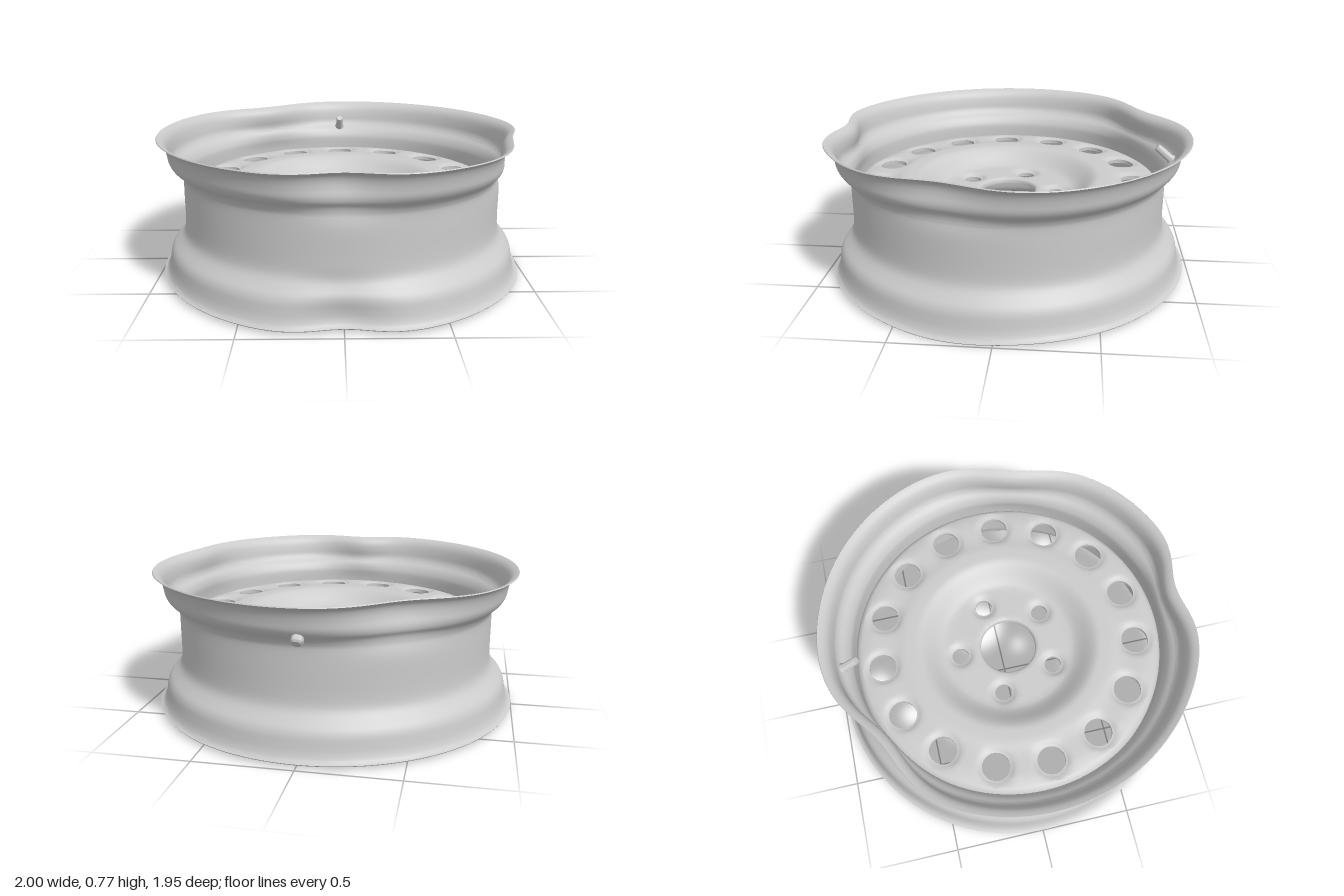
import * as THREE from 'three';
import { mergeGeometries, mergeVertices, toCreasedNormals } from 'three/addons/utils/BufferGeometryUtils.js';

const SEG = 120;
const THICK = 0.02;
const CENTRE_Z = 0.02;
const smooth = THREE.MathUtils.smoothstep;
const grey = () => new THREE.MeshStandardMaterial({ color: 0xcccccc, side: THREE.DoubleSide });

// Lathe from [radius, height] pairs, positions and index only
function lathe(points) {
  const g = new THREE.LatheGeometry(points.map(([r, y]) => new THREE.Vector2(r, y)), SEG);
  g.deleteAttribute('uv');
  g.deleteAttribute('normal');
  return g;
}

function weld(geometries, crease = 0.7) {
  return toCreasedNormals(mergeVertices(mergeGeometries(geometries), 1e-4), crease);
}

// Height of the pressed disc: low hub, raised outer ring, soft shoulder
const discY = r => 0.41 + 0.092 * smooth(r, 0.35, 0.51) - 0.012 * smooth(r, 0.56, 0.66)
  - 0.012 * smooth(r, 0.75, 0.83);

// One sector of the disc, pierced by a round hole with a pressed lip
function piercedSector({ angle, span, r0, r1, rc, hole, lip, nArc, nRad }) {
  const at = (r, a) => [r * Math.sin(a), r * Math.cos(a)];
  const a0 = angle - span / 2, a1 = angle + span / 2;
  const lerp = THREE.MathUtils.lerp;
  const edge = [];
  for (let i = 0; i < nArc; i++) edge.push(at(r0, lerp(a0, a1, i / nArc)));
  for (let i = 0; i < nRad; i++) edge.push(at(lerp(r0, r1, i / nRad), a1));
  for (let i = 0; i < nArc; i++) edge.push(at(r1, lerp(a1, a0, i / nArc)));
  for (let i = 0; i < nRad; i++) edge.push(at(lerp(r1, r0, i / nRad), a0));

  const [cx, cz] = at(rc, angle);
  const steps = [0, 0.07, 0.15, 0.25, 0.4, 0.65, 1];
  // Underside inwards to the hole, up its wall, then outwards on top
  const rings = [...steps.slice().reverse().map(v => [v, -THICK]), ...steps.map(v => [v, 0])];
  const pos = [], index = [], n = edge.length;
  for (const [v, dy] of rings) {
    for (const [ex, ez] of edge) {
      const len = Math.hypot(ex - cx, ez - cz);
      const d = lerp(hole, len, v);
      const x = cx + (ex - cx) / len * d, z = cz + (ez - cz) / len * d;
      const drop = v === 1 ? 0 : lip * (1 - smooth(d - hole, 0, 0.035));
      pos.push(x, discY(Math.hypot(x, z)) + dy - drop, z);
    }
  }
  for (let i = 0; i < rings.length - 1; i++) {
    for (let j = 0; j < n; j++) {
      const a = i * n + j, b = i * n + (j + 1) % n;
      index.push(a, b, a + n, b, b + n, a + n);
    }
  }
  const g = new THREE.BufferGeometry();
  g.setAttribute('position', new THREE.Float32BufferAttribute(pos, 3));
  g.setIndex(index);
  return g;
}

function makeDisc() {
  const parts = [];
  // Ring of fifteen vent holes
  for (let i = 0; i < 15; i++) {
    parts.push(piercedSector({
      angle: Math.PI + i * Math.PI * 2 / 15, span: Math.PI * 2 / 15,
      r0: 0.59, r1: 0.82, rc: 0.708, hole: 0.075, lip: 0.014, nArc: 8, nRad: 8
    }));
  }
  // Hub with five bolt holes
  for (let i = 0; i < 5; i++) {
    parts.push(piercedSector({
      angle: Math.PI + i * Math.PI * 2 / 5, span: Math.PI * 2 / 5,
      r0: 0.17, r1: 0.36, rc: 0.275, hole: 0.047, lip: 0.018, nArc: 24, nRad: 8
    }));
  }
  // Dished slope between hub and vent ring, top and underside
  const slope = [];
  for (let i = 0; i <= 14; i++) {
    const r = 0.59 - 0.23 * i / 14;
    slope.push([r, discY(r)]);
  }
  parts.push(lathe(slope));
  parts.push(lathe(slope.slice().reverse().map(([r, y]) => [r, y - THICK])));
  // Rolled edge of the centre bore
  const h = discY(0.17);
  parts.push(lathe([[0.17, h], [0.161, h - 0.004], [0.155, h - 0.012],
    [0.155, h - 0.03], [0.163, h - 0.03], [0.17, h - THICK]]));
  // Shoulder and flange that sits inside the barrel
  const e = discY(0.82);
  parts.push(lathe([[0.854, 0.27], [0.854, 0.41], [0.852, 0.435], [0.845, 0.455], [0.834, 0.469],
    [0.82, e]]));
  parts.push(lathe([[0.82, e - THICK], [0.83, 0.45], [0.837, 0.43], [0.84, 0.405], [0.84, 0.27],
    [0.854, 0.27]]));
  return weld(parts);
}

// Dents: angle from +z towards +x, angular width, depth at top and bottom, edge spread
const dents = [
  { angle: 0, width: 0.21, top: 0.085, bottom: 0.075, spread: 0 },
  { angle: 1.32, width: 0.3, top: 0.075, bottom: 0.005, spread: 0.016 },
  { angle: -2.6, width: 0.3, top: 0.1, bottom: 0, spread: 0 }
];

function makeRim() {
  const profile = [[1, 0.016], [0.982, 0.028], [0.968, 0.06], [0.96, 0.1], [0.953, 0.135],
    [0.938, 0.165], [0.91, 0.195], [0.885, 0.225], [0.872, 0.26], [0.868, 0.32], [0.868, 0.43],
    [0.868, 0.52], [0.874, 0.55], [0.893, 0.58], [0.922, 0.605], [0.94, 0.635], [0.947, 0.67],
    [0.956, 0.705], [0.972, 0.735], [1, 0.754]];
  const curve = new THREE.SplineCurve(profile.map(p => new THREE.Vector2(...p)));
  const outer = [], inner = [];
  for (let i = 0; i <= 56; i++) {
    const p = curve.getPoint(i / 56), t = curve.getTangent(i / 56);
    const w = 0.012 * (0.5 + 0.5 * Math.min(1, i / 5, (56 - i) / 5));
    outer.push([p.x, p.y]);
    inner.unshift([p.x - t.y * w, p.y + t.x * w]);
  }
  const g = mergeVertices(lathe([...outer, ...inner, outer[0]]), 1e-4);
  // Push the bent edges inwards
  const pos = g.attributes.position;
  for (let i = 0; i < pos.count; i++) {
    const x = pos.getX(i), y = pos.getY(i), z = pos.getZ(i);
    const a = Math.atan2(x, z);
    let r = Math.hypot(x, z), dy = 0;
    const up = smooth(y, 0.47, 0.74), down = 1 - smooth(y, 0.03, 0.3);
    for (const d of dents) {
      const delta = Math.atan2(Math.sin(a - d.angle), Math.cos(a - d.angle));
      const k = Math.exp(-((delta / d.width) ** 2));
      r -= k * (d.top * up + d.bottom * down);
      dy += k * d.spread * (0.6 * up - down);
    }
    pos.setXYZ(i, r * Math.sin(a), y + dy, r * Math.cos(a));
  }
  return toCreasedNormals(g, 0.7);
}

// Valve stem pushed through the rim wall, tilted up towards the axis
function makeValve() {
  const valve = new THREE.Group();
  valve.name = 'valve';
  const outerEnd = new THREE.Vector3(0, 0.572, -0.92);
  const innerEnd = new THREE.Vector3(0, 0.675, -0.8);
  const axis = innerEnd.clone().sub(outerEnd);
  const length = axis.length();
  const profile = [[0, 0], [0.022, 0.003], [0.03, 0.012], [0.03, 0.05], [0.023, 0.06],
    [0.021, length - 0.008], [0.017, length], [0, length]];
  const body = new THREE.LatheGeometry(profile.map(p => new THREE.Vector2(...p)), 20);
  const stem = new THREE.Mesh(toCreasedNormals(body, 0.7), grey());
  stem.name = 'valveStem';
  valve.add(stem);
  valve.position.copy(outerEnd);
  valve.quaternion.setFromUnitVectors(new THREE.Vector3(0, 1, 0), axis.normalize());
  return valve;
}

export function createModel() {
  const model = new THREE.Group();
  model.name = 'dentedWheel';
  const wheel = new THREE.Group();
  wheel.name = 'wheel';
  wheel.position.z = CENTRE_Z;
  const rim = new THREE.Mesh(makeRim(), grey());
  rim.name = 'rim';
  const disc = new THREE.Mesh(makeDisc(), grey());
  disc.name = 'disc';
  wheel.add(rim, disc);
  model.add(wheel, makeValve());
  return model;
}
